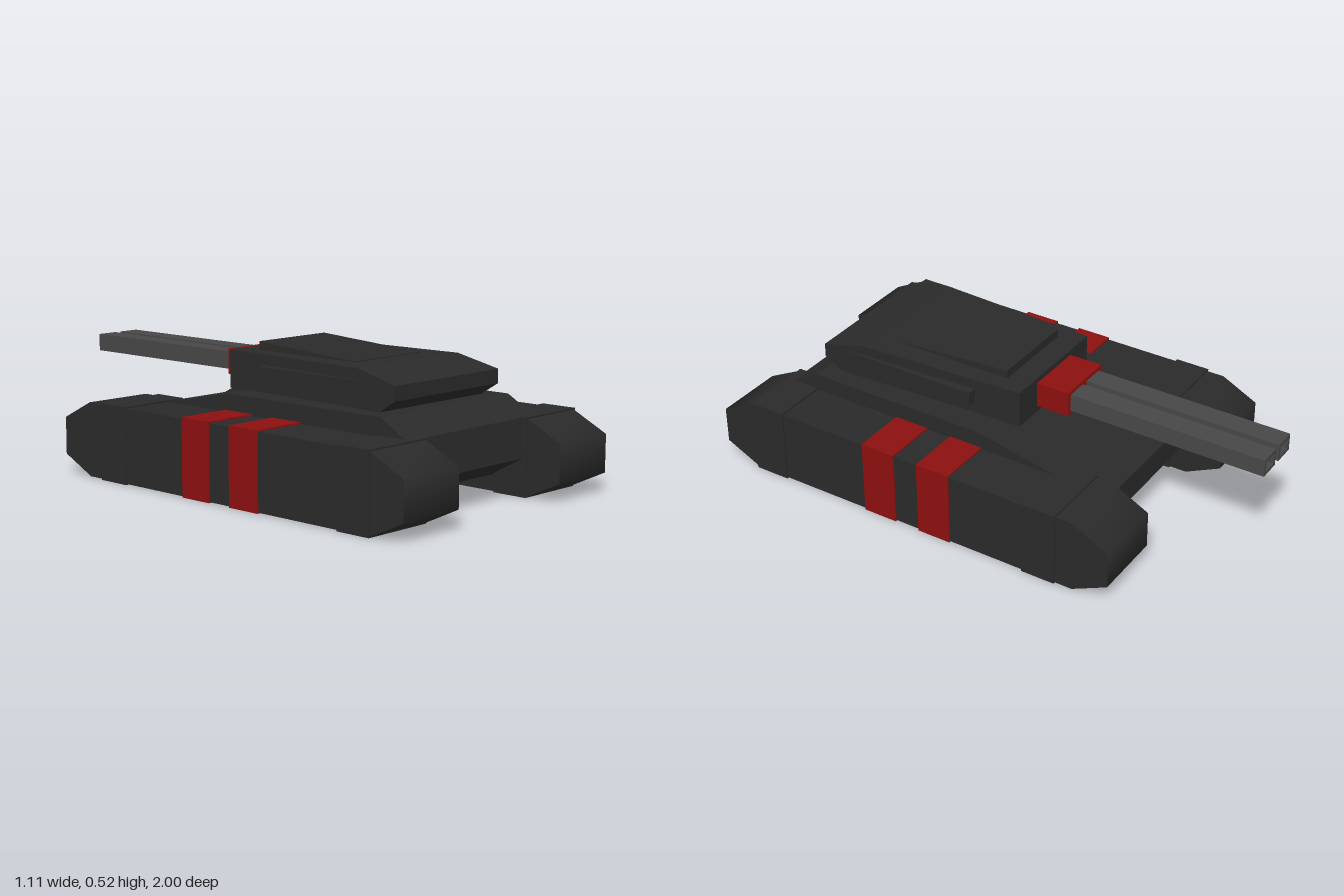
import * as THREE from 'three';
import { toCreasedNormals } from 'three/addons/utils/BufferGeometryUtils.js';

const paint = (color) => new THREE.MeshStandardMaterial({ color });

// Side profile given as [z, y] points, extruded to a width along x and centred on x = 0
function profile(points, width) {
  const shape = new THREE.Shape(points.map(([z, y]) => new THREE.Vector2(z, y)));
  const geo = new THREE.ExtrudeGeometry(shape, { depth: width, bevelEnabled: false });
  geo.translate(0, 0, -width / 2);
  geo.rotateY(-Math.PI / 2);
  return geo;
}

// Box given by its limits
function block(x0, x1, y0, y1, z0, z1) {
  const geo = new THREE.BoxGeometry(x1 - x0, y1 - y0, z1 - z0);
  geo.translate((x0 + x1) / 2, (y0 + y1) / 2, (z0 + z1) / 2);
  return geo;
}

export function createModel() {
  const model = new THREE.Group();
  model.name = 'tank';
  const dark = paint(0x2a2a2a);
  const red = paint(0x8c1010);
  const steel = paint(0x474747);

  function add(name, geo, material, parent = model) {
    const mesh = new THREE.Mesh(geo, material);
    mesh.name = name;
    parent.add(mesh);
    return mesh;
  }

  // Hull with sloped deck and chamfered belly
  add('hull', profile([
    [0.72, 0.348], [0, 0.348], [-0.32, 0.283], [-0.52, 0.24], [-0.52, 0.14],
    [-0.4, 0.06], [0.7, 0.06], [0.845, 0.14], [0.835, 0.283],
  ], 0.69), dark);

  // Track pods with wrapped bands
  const trackGeo = toCreasedNormals(profile([
    [1, 0.07], [1, 0.21], [0.86, 0.281], [-0.52, 0.281],
    [-0.66, 0.21], [-0.66, 0.07], [-0.52, 0.003], [0.86, 0.003],
  ], 0.275), 1.15);
  const bands = [
    ['frontBand', 0.72, 0.86, dark],
    ['frontRedBand', 0.22, 0.357, red],
    ['rearRedBand', -0.015, 0.12, red],
    ['rearBand', -0.452, -0.317, dark],
  ];
  for (const [side, s] of [['left', 1], ['right', -1]]) {
    const pod = new THREE.Group();
    pod.name = side + 'Track';
    pod.position.x = s * 0.414;
    model.add(pod);
    add('trackPod', trackGeo, dark, pod);
    for (const [name, z0, z1, material] of bands) {
      add(name, block(-0.143, 0.143, 0, 0.287, z0, z1), material, pod);
    }
  }

  // Turret, narrowing toward the gun
  const turret = new THREE.Group();
  turret.name = 'turret';
  model.add(turret);
  const bodyGeo = profile([
    [0.725, 0.393], [0.725, 0.445], [0.55, 0.486], [-0.105, 0.486],
    [-0.105, 0.345], [0.65, 0.345],
  ], 2);
  const p = bodyGeo.attributes.position;
  for (let i = 0; i < p.count; i++) {
    const t = (p.getZ(i) + 0.105) / 0.83;
    p.setX(i, p.getX(i) * THREE.MathUtils.lerp(0.232, 0.278, t));
  }
  bodyGeo.computeVertexNormals();
  add('turretBody', bodyGeo, dark, turret);

  // Wedge-shaped roof plate
  add('roofPlate', profile([
    [0.45, 0.48], [0.45, 0.489], [-0.015, 0.518], [-0.015, 0.48],
  ], 0.344), dark, turret);

  // Side panels
  for (const [side, s] of [['left', 1], ['right', -1]]) {
    const panel = add(side + 'SidePanel', block(-0.03, 0.03, 0.395, 0.447, 0.08, 0.64), dark, turret);
    panel.position.x = s * 0.246;
  }

  // Gun mount and twin hollow square barrels
  add('gunMount', block(-0.115, 0.115, 0.37, 0.466, -0.235, -0.1), red, turret);
  const barrelShape = new THREE.Shape();
  const bore = new THREE.Path();
  const square = (path, w, h) => path.moveTo(-w, -h).lineTo(w, -h).lineTo(w, h).lineTo(-w, h).closePath();
  square(barrelShape, 0.042, 0.033);
  square(bore, 0.028, 0.02);
  barrelShape.holes.push(bore);
  const barrelGeo = new THREE.ExtrudeGeometry(barrelShape, { depth: 0.78, bevelEnabled: false });
  for (const [side, s] of [['left', 1], ['right', -1]]) {
    add(side + 'Barrel', barrelGeo, steel, turret).position.set(s * 0.055, 0.418, -1);
  }

  return model;
}
